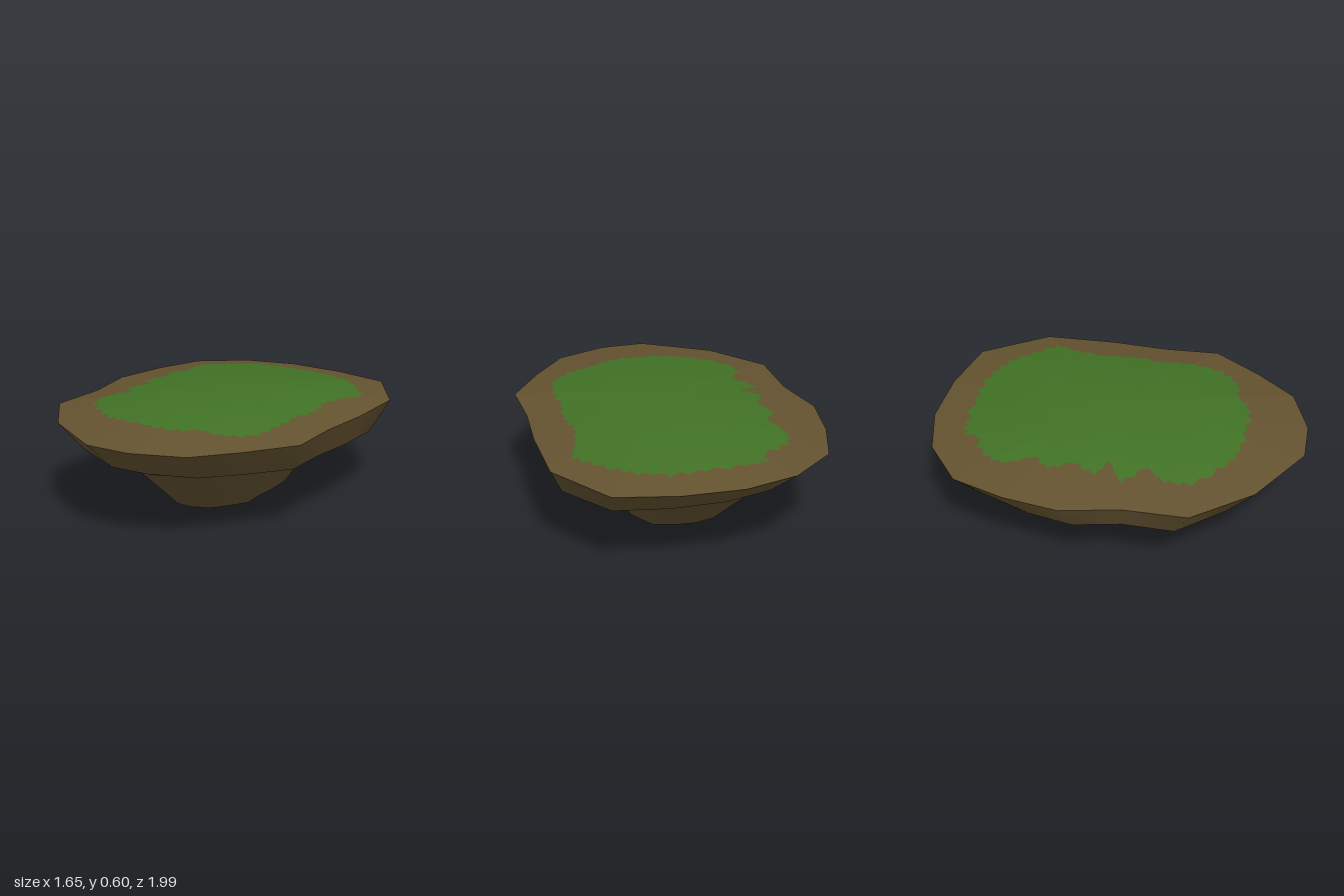
import * as THREE from 'three';

const soil = new THREE.MeshStandardMaterial({ color: 0x645330 });
soil.name = 'soilBrown';
const grass = new THREE.MeshStandardMaterial({ color: 0x417225 });
grass.name = 'grassGreen';

// Island rim and grass outline as [x, z], in order of growing angle
const RIM = [[-0.23, -0.99], [0.06, -1], [0.37, -0.92], [0.67, -0.78], [0.82, -0.4], [0.75, -0.02],
  [0.67, 0.27], [0.62, 0.57], [0.4, 0.78], [0.18, 0.95], [-0.11, 0.99], [-0.35, 0.94],
  [-0.66, 0.65], [-0.83, 0.31], [-0.76, -0.02], [-0.76, -0.33], [-0.65, -0.61], [-0.5, -0.86]];
const GRASS = [[-0.05, -0.83], [0.16, -0.79], [0.25, -0.78], [0.42, -0.71], [0.53, -0.62], [0.62, -0.48],
  [0.69, -0.35], [0.62, -0.24], [0.55, -0.08], [0.55, 0.07], [0.49, 0.24], [0.46, 0.42], [0.4, 0.58],
  [0.27, 0.66], [0.13, 0.65], [-0.02, 0.7], [-0.18, 0.66], [-0.35, 0.61], [-0.47, 0.53], [-0.62, 0.34],
  [-0.6, 0.2], [-0.5, 0.12], [-0.59, -0.02], [-0.45, -0.07], [-0.54, -0.15], [-0.45, -0.26],
  [-0.48, -0.39], [-0.39, -0.45], [-0.42, -0.62], [-0.35, -0.72], [-0.18, -0.77], [-0.16, -0.83]];

// Adds small teeth along each edge of an outline
function jagged(poly) {
  const out = [];
  poly.forEach((p, i) => {
    const q = poly[(i + 1) % poly.length];
    const steps = Math.hypot(q[0] - p[0], q[1] - p[1]) > 0.1 ? 4 : 2;
    for (let k = 0; k < steps; k++) {
      const t = k / steps;
      const s = k === 0 ? 1 : 1 + (k % 2 ? -0.03 : 0.015);
      out.push([(p[0] + (q[0] - p[0]) * t) * s, (p[1] + (q[1] - p[1]) * t) * s]);
    }
  });
  return out;
}

// Distance from the centre to an outline in direction a
function radiusAt(poly, a) {
  const dx = Math.cos(a), dz = Math.sin(a);
  for (let i = 0; i < poly.length; i++) {
    const p = poly[i], q = poly[(i + 1) % poly.length];
    if (p[0] * dz - p[1] * dx < -1e-9 || dx * q[1] - dz * q[0] < -1e-9) continue;
    const ex = q[0] - p[0], ez = q[1] - p[1];
    return (p[0] * ez - p[1] * ex) / (dx * ez - dz * ex);
  }
  return 0;
}

// Gentle dome: height by fraction of the way to the rim
function domeHeight(t) {
  const steps = [[0, 0.6], [0.38, 0.587], [0.6, 0.565], [1, 0.51]];
  for (let i = 1; i < steps.length; i++) {
    const [t0, y0] = steps[i - 1], [t1, y1] = steps[i];
    if (t <= t1 + 1e-6) return y0 + (y1 - y0) * (t - t0) / (t1 - t0);
  }
  return 0.51;
}

// Skins closed loops of [x, y, z] points, smooth within the skin
function skin(name, loops, material) {
  const n = loops[0].length, index = [];
  for (let r = 0; r < loops.length - 1; r++) {
    for (let i = 0; i < n; i++) {
      const a = r * n + i, b = r * n + (i + 1) % n;
      index.push(a, b, a + n, b, b + n, a + n);
    }
  }
  const g = new THREE.BufferGeometry();
  g.setAttribute('position', new THREE.Float32BufferAttribute(loops.flat(2), 3));
  g.setIndex(index);
  g.computeVertexNormals();
  // Points on the axis have a straight normal
  const pos = g.attributes.position;
  for (let i = 0; i < pos.count; i++) {
    if (Math.hypot(pos.getX(i), pos.getZ(i)) < 1e-6) {
      g.attributes.normal.setXYZ(i, 0, pos.getY(i) > 0.3 ? 1 : -1, 0);
    }
  }
  const mesh = new THREE.Mesh(g, material);
  mesh.name = name;
  return mesh;
}

export function createModel() {
  const island = new THREE.Group();
  island.name = 'floatingIsland';

  // Domed top, divided along the ragged edge of the grass
  const patch = jagged(GRASS);
  const angles = [...RIM, ...patch].map(([x, z]) => Math.atan2(z, x)).sort((a, b) => a - b);
  const domeLoop = (fraction) => angles.map((a) => {
    const rim = radiusAt(RIM, a), t = fraction(a, rim);
    return [Math.cos(a) * rim * t, domeHeight(t), Math.sin(a) * rim * t];
  });
  const edge = domeLoop((a, rim) => radiusAt(patch, a) / rim);
  island.add(skin('grassPatch',
    [domeLoop(() => 0), domeLoop(() => 0.38), domeLoop(() => 0.58), edge], grass));
  island.add(skin('soilBorder', [edge, domeLoop(() => 1)], soil));

  // Rim, ledge, tapering root and shallow point below, each with a crisp edge
  const level = (y, sx, sz, dz = 0) => RIM.map(([x, z]) => [x * sx, y, z * sz + dz * Math.sign(sz)]);
  const levels = [
    level(0.51, 1, 1),
    level(0.345, 0.89, 0.8),
    level(0.31, 0.57, 0.715, -0.01),
    level(0.04, 0.35, 0.405, -0.03),
    level(0, 0, 0),
  ];
  ['rimSide', 'ledgeUnderside', 'rootSide', 'rootBottom'].forEach((name, i) => {
    island.add(skin(name, [levels[i], levels[i + 1]], soil));
  });
  return island;
}
